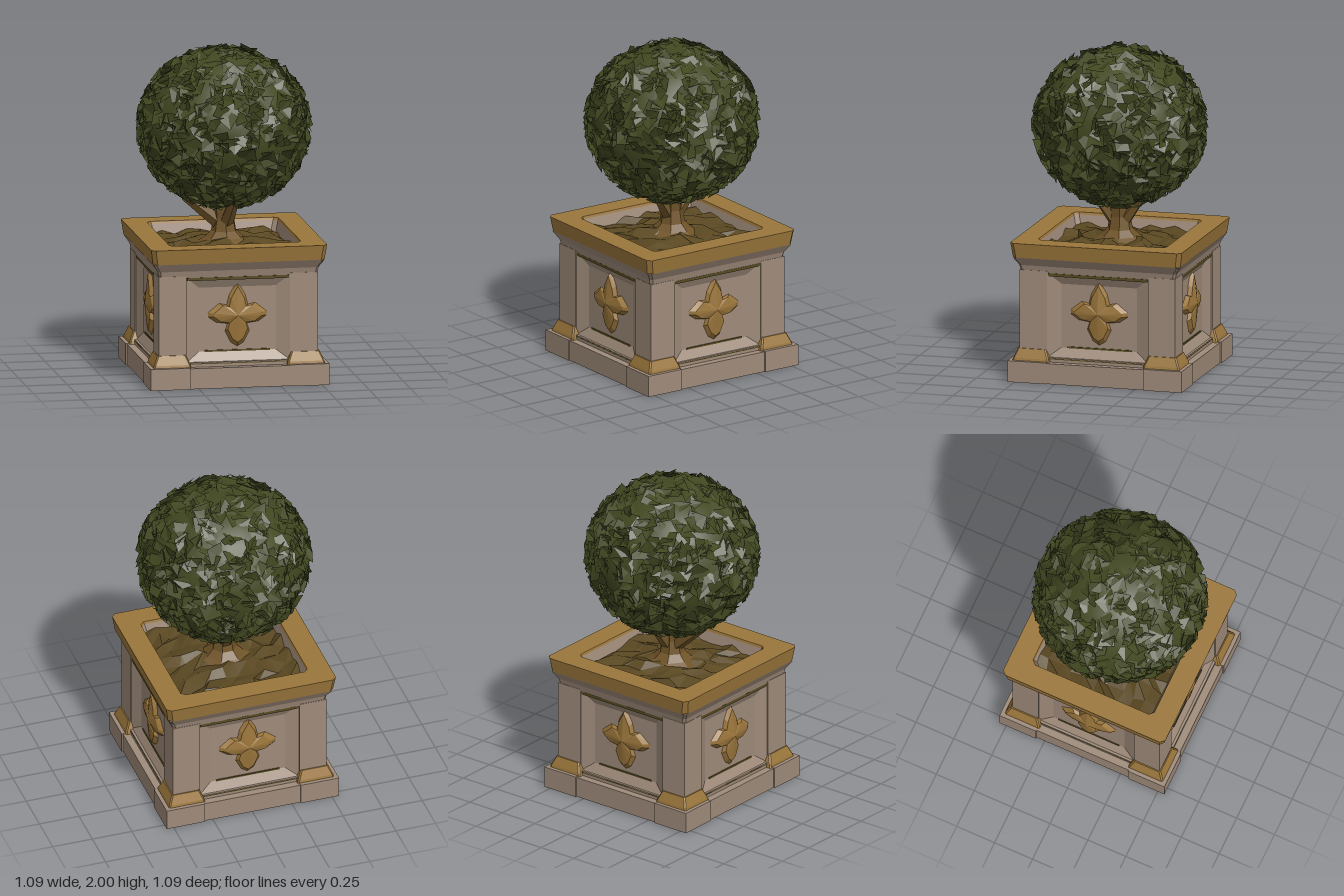
import * as THREE from 'three';
import { mergeGeometries } from 'three/addons/utils/BufferGeometryUtils.js';

const mat = (name, color) => new THREE.MeshStandardMaterial({ name, color });

// Small seeded random generator
function seeded(seed) {
  return () => {
    seed = (seed * 1664525 + 1013904223) % 4294967296;
    return seed / 4294967296;
  };
}

// Unshared triangles with flat normals
function facet(geometry) {
  const g = geometry.index ? geometry.toNonIndexed() : geometry;
  g.computeVertexNormals();
  return g;
}

function fromTriangles(points) {
  const g = new THREE.BufferGeometry().setFromPoints(points);
  g.computeVertexNormals();
  return g;
}

// Square rings [half width, y] joined in order, with chamfered corners
function squareLoft(profile, chamfer) {
  const rings = profile.map(([h, y]) => {
    const k = h - chamfer;
    return [[h, k], [k, h], [-k, h], [-h, k], [-h, -k], [-k, -h], [k, -h], [h, -k]]
      .map(([x, z]) => new THREE.Vector3(x, y, z));
  });
  const tris = [];
  for (let r = 0; r < rings.length - 1; r++) {
    for (let i = 0; i < 8; i++) {
      const j = (i + 1) % 8;
      const a = rings[r][i], b = rings[r][j], c = rings[r + 1][j], d = rings[r + 1][i];
      tris.push(a, d, b, b, d, c);
    }
  }
  return fromTriangles(tris);
}

// Sloping rectangular frame from an outer rectangle to a deeper inner one
function panelFrame(outer, inner) {
  const corners = ([x, y0, y1, z]) =>
    [[-x, y0], [x, y0], [x, y1], [-x, y1]].map(([px, py]) => new THREE.Vector3(px, py, z));
  const o = corners(outer), n = corners(inner), tris = [];
  for (let i = 0; i < 4; i++) {
    const j = (i + 1) % 4;
    tris.push(o[i], o[j], n[j], o[i], n[j], n[i]);
  }
  return fromTriangles(tris);
}

// Faceted three-petal ornament, rising from its outline to a raised centre
function ornamentGeometry() {
  const half = [[0.05, 0.55], [0.065, 0.49], [0.11, 0.5], [0.18, 0.445], [0.18, 0.42],
    [0.13, 0.385], [0.06, 0.375], [0.075, 0.33], [0.04, 0.26]];
  const left = half.map(([x, y]) => [-x, y]).reverse();
  const outline = [[0, 0.635], ...half, [0, 0.235], ...left].reverse();
  const base = outline.map(([x, y]) => new THREE.Vector3(x, y, 0));
  const shoulder = outline.map(([x, y]) => new THREE.Vector3(x * 0.8, 0.43 + (y - 0.43) * 0.85, 0.025));
  const centre = new THREE.Vector3(0, 0.43, 0.045), tris = [];
  base.forEach((p, i) => {
    const j = (i + 1) % base.length;
    tris.push(p, base[j], shoulder[j], p, shoulder[j], shoulder[i], shoulder[i], shoulder[j], centre);
  });
  return fromTriangles(tris);
}

// Folded leaves scattered evenly over a ball, tips lifted outward
function leavesGeometry(count, radius, limit) {
  const rnd = seeded(17), tris = [];
  for (let i = 0; i < count; i++) {
    const y = 1 - 2 * (i + 0.5) / count, a = i * 2.39996 + rnd() * 0.3, s = Math.sqrt(1 - y * y);
    const d = new THREE.Vector3(s * Math.cos(a), y, s * Math.sin(a));
    const t = new THREE.Vector3(rnd() - 0.5, rnd() - 0.75, rnd() - 0.5).cross(d).cross(d).normalize();
    if (rnd() < 0.6) t.negate();
    const b = d.clone().cross(t);
    const length = 0.08 + rnd() * 0.08, width = 0.035 + rnd() * 0.045;
    const lift = (0.02 + rnd() * 0.055) * (y > 0.75 ? 0.45 : 1);
    const point = (along, side, up) => d.clone().multiplyScalar(radius + up)
      .addScaledVector(t, along).addScaledVector(b, side).clampLength(0, limit);
    const base = point(0, 0, -0.012), tip = point(length, 0, lift);
    const right = point(length * 0.4, width, lift * (0.2 + rnd() * 0.6));
    const left = point(length * 0.5, -width, lift * rnd() * 0.6);
    tris.push(base, tip, right, base, left, tip);
  }
  return fromTriangles(tris);
}

export function createModel() {
  const model = new THREE.Group();
  model.name = 'topiaryPlanter';

  const stone = mat('stone', 0x9f8b7a);
  const gold = mat('gold', 0x9b763b);
  const moss = mat('moss', 0x554a20);
  const soilMat = mat('soil', 0x5a4821);
  const bark = mat('bark', 0x705428);
  const leaf = mat('leaf', 0x424821);
  leaf.side = THREE.DoubleSide;

  const add = (parent, name, geometry, material, x = 0, y = 0, z = 0) => {
    const mesh = new THREE.Mesh(geometry, material);
    mesh.name = name;
    mesh.position.set(x, y, z);
    parent.add(mesh);
  };

  // Planter box: plinth, recessed walls, flared cornice, gilded rim
  const planter = new THREE.Group();
  planter.name = 'planter';
  model.add(planter);
  add(planter, 'plinth', new THREE.BoxGeometry(1.07, 0.125, 1.07), stone, 0, 0.0625, 0);
  add(planter, 'walls', squareLoft([[0.44, 0.12], [0.44, 0.68]], 0.01), stone);
  add(planter, 'cornice', squareLoft([[0.43, 0.668], [0.48, 0.668], [0.49, 0.71], [0.522, 0.76]], 0.015), stone);
  add(planter, 'rim', squareLoft([[0.522, 0.76], [0.535, 0.85], [0.4, 0.85], [0.395, 0.835]], 0.025), gold);
  add(planter, 'innerWall', squareLoft([[0.395, 0.835], [0.375, 0.75]], 0.025), stone);

  // Four matching sides, each with one corner
  const postGeo = new THREE.BoxGeometry(0.17, 0.56, 0.17);
  const cornerGeo = new THREE.BoxGeometry(0.24, 0.13, 0.24);
  const footGeo = squareLoft([[0.115, 0.125], [0.11, 0.145], [0.087, 0.2], [0.08, 0.2]], 0.008);
  const frameGeo = panelFrame([0.315, 0.15, 0.67, 0.477], [0.235, 0.21, 0.6, 0.443]);
  const ledgeGeo = new THREE.BoxGeometry(0.64, 0.03, 0.07);
  const ornamentGeo = ornamentGeometry();
  for (let i = 0; i < 4; i++) {
    const side = new THREE.Group();
    side.name = 'side' + (i + 1);
    side.rotation.y = i * Math.PI / 2;
    planter.add(side);
    add(side, 'cornerPost', postGeo, stone, 0.4, 0.4, 0.4);
    add(side, 'plinthCorner', cornerGeo, stone, 0.424, 0.065, 0.424);
    add(side, 'gildedFoot', footGeo, gold, 0.407, 0, 0.407);
    add(side, 'panelFrame', frameGeo, stone);
    add(side, 'ledge', ledgeGeo, stone, 0, 0.138, 0.455);
    add(side, 'ornament', ornamentGeo, gold, 0, 0, 0.439);
    add(side, 'mossTop', new THREE.BoxGeometry(0.62, 0.018, 0.008), moss, 0, 0.658, 0.475);
    add(side, 'mossBottom', new THREE.BoxGeometry(0.4, 0.01, 0.006), moss, 0, 0.213, 0.446);
    add(side, 'mossLedge', new THREE.BoxGeometry(0.6, 0.006, 0.006), moss, 0, 0.145, 0.488);
  }

  // Rough soil, mounded toward the trunk
  const rnd = seeded(5);
  const soil = new THREE.PlaneGeometry(0.77, 0.77, 10, 10).rotateX(-Math.PI / 2);
  const sp = soil.attributes.position;
  for (let i = 0; i < sp.count; i++) {
    const x = sp.getX(i), z = sp.getZ(i);
    const edge = Math.max(Math.abs(x), Math.abs(z)) > 0.37;
    const mound = 0.04 * Math.max(0, 1 - Math.hypot(x, z) / 0.35);
    sp.setXYZ(i, x + (edge ? 0 : (rnd() - 0.5) * 0.06), 0.785 + mound + (rnd() - 0.5) * 0.05,
      z + (edge ? 0 : (rnd() - 0.5) * 0.06));
  }
  add(model, 'soil', facet(soil), soilMat);

  // Trunk with flared roots, and branches spreading into the crown
  const trunkProfile = [[0.2, 0.77], [0.12, 0.82], [0.078, 0.86], [0.063, 0.94], [0.07, 1.02], [0.1, 1.12]]
    .map(([r, y]) => new THREE.Vector2(r, y));
  add(model, 'trunk', facet(new THREE.LatheGeometry(trunkProfile, 7)), bark);
  const up = new THREE.Vector3(0, 1, 0);
  const branches = [[3.14, 0.22], [1.3, 0.13], [4.9, 0.13]].map(([a, reach]) => {
    const start = new THREE.Vector3(Math.cos(a) * 0.02, 0.9, Math.sin(a) * 0.02);
    const dir = new THREE.Vector3(Math.cos(a) * reach, 0.18, Math.sin(a) * reach);
    const g = new THREE.CylinderGeometry(0.03, 0.045, dir.length(), 5);
    g.applyQuaternion(new THREE.Quaternion().setFromUnitVectors(up, dir.clone().normalize()));
    return facet(g.translate(...start.addScaledVector(dir, 0.5).toArray()));
  });
  add(model, 'branches', mergeGeometries(branches), bark);

  // Clipped round crown
  const crown = new THREE.Group();
  crown.name = 'crown';
  crown.position.y = 1.495;
  crown.scale.y = 0.945;
  model.add(crown);
  add(crown, 'crownCore', new THREE.SphereGeometry(0.49, 28, 20), leaf);
  add(crown, 'leaves', leavesGeometry(850, 0.483, 0.534), leaf);

  return model;
}
